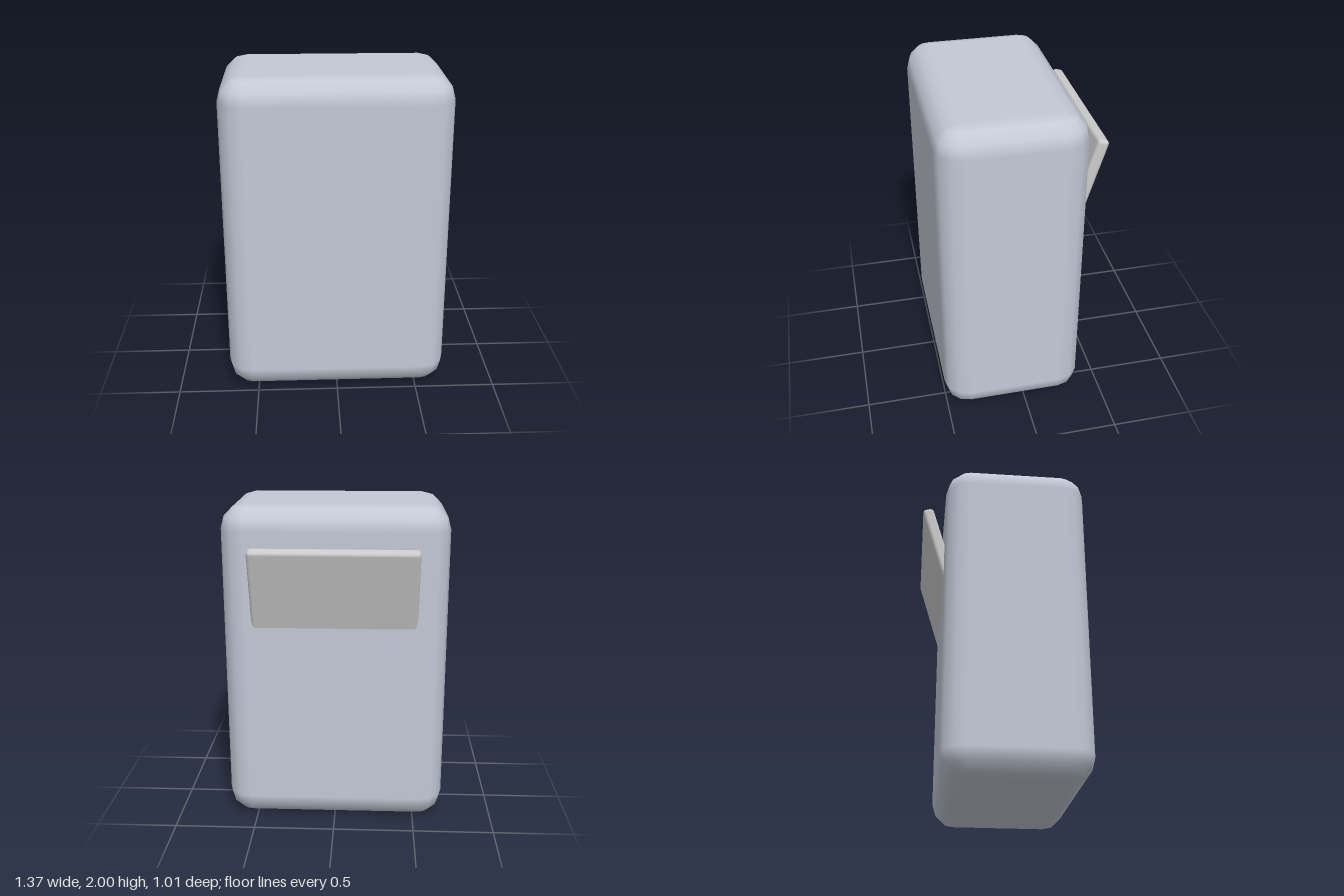
import * as THREE from 'three';

// Rounded box with three facets per quarter bend: a sphere grid whose
// octants are pushed out to the corners, plus flat centre points top and bottom.
function softBox(w, h, d, r) {
  const geo = new THREE.SphereGeometry(1, 16, 9);
  const pos = geo.attributes.position;
  const nor = geo.attributes.normal;
  const step = Math.PI / 6;
  for (let row = 0; row <= 9; row++) {
    const up = row < 5 ? 1 : -1;
    const cap = row === 0 || row === 9;
    const v = cap ? (row ? Math.PI : 0) : (row < 5 ? row - 1 : row - 2) * step;
    for (let col = 0; col <= 16; col++) {
      const quad = Math.floor(col / 4) % 4;
      const u = (quad * 3 + (col % 4)) * step;
      const n = new THREE.Vector3(-Math.cos(u) * Math.sin(v), Math.cos(v), Math.sin(u) * Math.sin(v));
      const sx = cap ? 0 : (quad === 0 || quad === 3 ? -1 : 1);
      const sz = cap ? 0 : (quad < 2 ? 1 : -1);
      const i = row * 17 + col;
      pos.setXYZ(i, n.x * r + sx * (w / 2 - r), n.y * r + up * (h / 2 - r), n.z * r + sz * (d / 2 - r));
      nor.setXYZ(i, n.x, n.y, n.z);
    }
  }
  return geo;
}

export function createModel() {
  const model = new THREE.Group();
  model.name = 'cabinet';

  // Main upright body
  const body = new THREE.Mesh(
    softBox(1.37, 2, 0.87, 0.15),
    new THREE.MeshStandardMaterial({ color: 0xc4c9d6 })
  );
  body.name = 'body';
  body.position.set(0, 1, 0.07);
  model.add(body);

  // Tilted flap leaning out of the back
  const flap = new THREE.Mesh(
    softBox(1, 0.6, 0.07, 0.022),
    new THREE.MeshStandardMaterial({ color: 0xcccccc })
  );
  flap.name = 'backFlap';
  flap.position.set(0, 1.482, -0.39);
  flap.rotation.x = -0.29;
  model.add(flap);

  return model;
}
